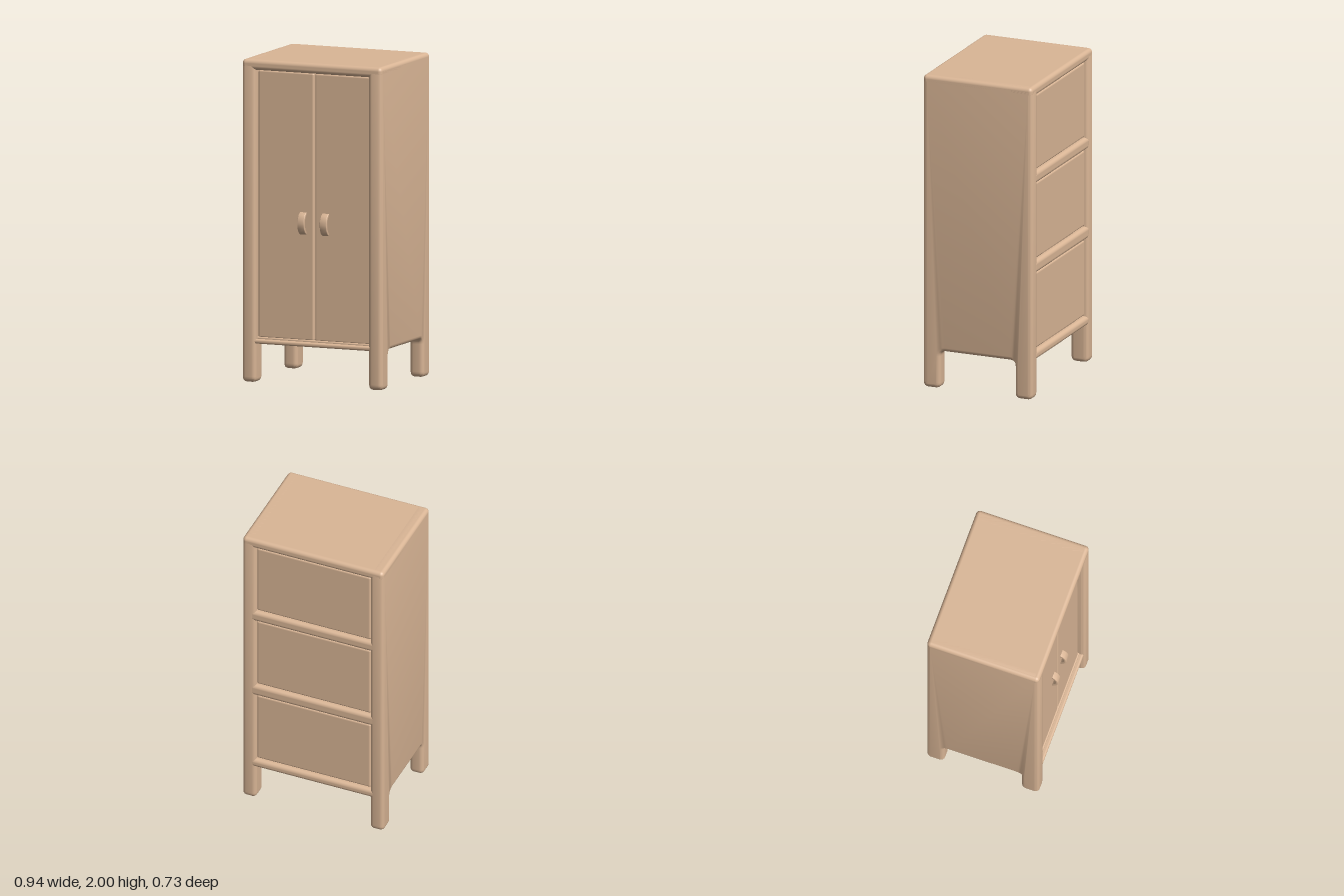
import * as THREE from 'three';
import { toCreasedNormals } from 'three/addons/utils/BufferGeometryUtils.js';
import { RoundedBoxGeometry } from 'three/addons/geometries/RoundedBoxGeometry.js';

const W = 0.47, D = 0.365, H = 2, POST = 0.09, FLOOR = 0.24;

// Closed shape with every corner rounded by its own radius: [x, y, r]
function roundedShape(points) {
  const shape = new THREE.Shape();
  const n = points.length;
  const corner = points.map(([x, y, r], i) => {
    const p = new THREE.Vector2(x, y);
    const toward = (q) => new THREE.Vector2(q[0], q[1]).sub(p).setLength(r).add(p);
    return { p, a: toward(points[(i + n - 1) % n]), b: toward(points[(i + 1) % n]) };
  });
  corner.forEach(({ p, a, b }, i) => {
    if (i === 0) shape.moveTo(a.x, a.y);
    else shape.lineTo(a.x, a.y);
    shape.quadraticCurveTo(p.x, p.y, b.x, b.y);
  });
  shape.closePath();
  return shape;
}

// Extrude a (z, y) profile along x, centred on x = 0, with soft edges
function extrudeAcross(shape, width, bevel) {
  const g = new THREE.ExtrudeGeometry(shape, {
    depth: width - 2 * bevel, bevelEnabled: true, bevelThickness: bevel,
    bevelSize: bevel, bevelOffset: -bevel, bevelSegments: 4, curveSegments: 6,
  });
  g.translate(0, 0, -(width - 2 * bevel) / 2);
  g.rotateY(-Math.PI / 2);
  return toCreasedNormals(g, 0.7);
}

export function createModel() {
  const group = new THREE.Group();
  const wood = new THREE.MeshStandardMaterial({ color: 0xdab696 });
  wood.name = 'tan wood';

  const add = (name, geometry, x = 0, y = 0, z = 0) => {
    const mesh = new THREE.Mesh(geometry, wood);
    mesh.name = name;
    mesh.position.set(x, y, z);
    group.add(mesh);
    return mesh;
  };
  // Soft-edged board given by its limits
  const board = (name, x0, x1, y0, y1, z0, z1, r) =>
    add(name, new RoundedBoxGeometry(x1 - x0, y1 - y0, z1 - z0, 4, r),
      (x0 + x1) / 2, (y0 + y1) / 2, (z0 + z1) / 2);

  // Side walls, each running down into a front and a back leg
  const leg = 0.25;
  const side = extrudeAcross(roundedShape([
    [-D, 0, 0.035], [-leg, 0, 0.035], [-leg, FLOOR, 0.035], [leg, FLOOR, 0.035],
    [leg, 0, 0.035], [D, 0, 0.035], [D, H, 0.03], [-D, H, 0.03],
  ]), POST, 0.025);

  // Inner carcass behind the doors and back panels
  add('carcass', new THREE.BoxGeometry(0.84, 1.7, 0.62), 0, 1.11, -0.02);

  board('top', -W, W, 1.935, H, -D, D, 0.025);
  board('bottom', -0.43, 0.43, FLOOR, 0.28, -0.35, 0.33, 0.008);
  board('frontBottomRail', -0.42, 0.42, FLOOR, 0.268, 0.25, 0.355, 0.012);

  // Back rails between the three recessed panels
  for (const [y0, y1] of [[FLOOR, 0.3], [0.795, 0.875], [1.37, 1.445]]) {
    board('backRail', -0.42, 0.42, y0, y1, -D, -0.28, 0.025);
  }
  for (const [y0, y1] of [[0.3, 0.795], [0.875, 1.37], [1.445, 1.935]]) {
    board('backPanel', -0.38, 0.38, y0 + 0.004, y1 - 0.004, -0.347, -0.3, 0.014);
  }

  // Bowed door handle
  const handle = new THREE.Shape();
  handle.moveTo(0, -0.07);
  handle.bezierCurveTo(0.055, -0.055, 0.055, 0.055, 0, 0.07);
  handle.lineTo(0, 0.05);
  handle.bezierCurveTo(0.03, 0.035, 0.03, -0.035, 0, -0.05);
  handle.closePath();
  const handleGeometry = extrudeAcross(handle, 0.046, 0.004);

  for (const s of [-1, 1]) {
    add('sideWall', side, s * (W - POST / 2), 0, 0);
    const [a, b] = [s * 0.003, s * 0.378];
    board('door', Math.min(a, b), Math.max(a, b), 0.274, 1.933, 0.27, 0.322, 0.012);
    add('doorHandle', handleGeometry, s * 0.075, 1, 0.32);
  }
  return group;
}
